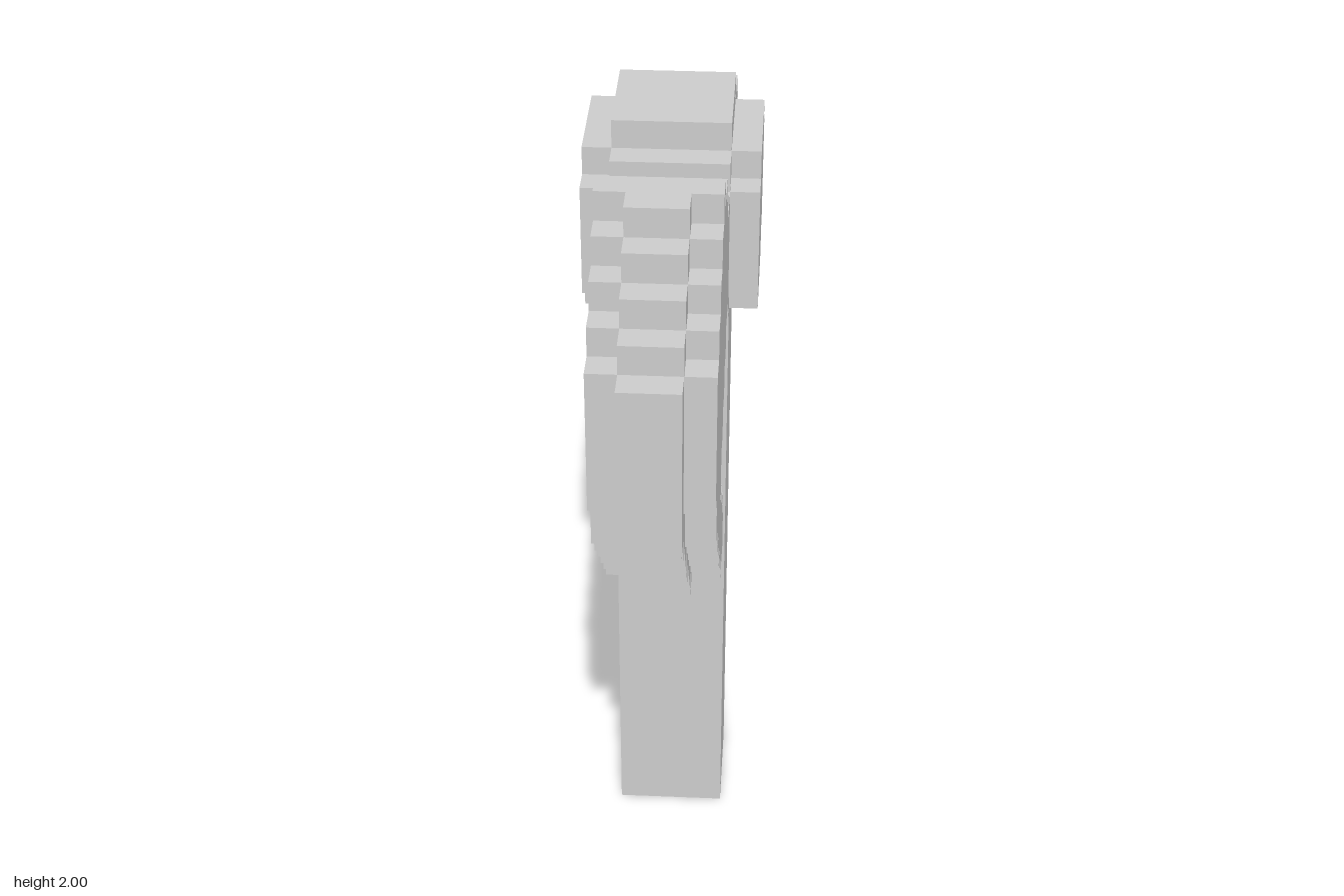
import * as THREE from 'three';

const U = 2 / 31; // one block unit

const material = new THREE.MeshStandardMaterial({ color: 0xcccccc, flatShading: true });

// Stepped slab: each row is [bottom, top, back z, front z] in units, extruded across x.
function steppedSlab(name, rows, width) {
  const points = [];
  const add = (z, y) => {
    const last = points[points.length - 1];
    if (!last || last.x !== z * U || last.y !== y * U) points.push(new THREE.Vector2(z * U, y * U));
  };
  for (const [y0, y1, , front] of rows) {
    add(front, y0);
    add(front, y1);
  }
  for (const [y0, y1, back] of [...rows].reverse()) {
    add(back, y1);
    add(back, y0);
  }
  const geometry = new THREE.ExtrudeGeometry(new THREE.Shape(points), { depth: width * U, bevelEnabled: false });
  geometry.translate(0, 0, -width * U / 2);
  geometry.rotateY(-Math.PI / 2);
  const mesh = new THREE.Mesh(geometry, material);
  mesh.name = name;
  return mesh;
}

export function createModel() {
  const axe = new THREE.Group();
  axe.name = 'axe';

  // Square shaft
  axe.add(steppedSlab('handle', [[0, 23, -6, -2]], 4));

  // Head block with a stepped rounded poll at the back
  axe.add(steppedSlab('headBlock', [
    [23, 24, -8, -1], [24, 25, -9, -1], [25, 27, -10, -1],
    [27, 28, -9, -1], [28, 29, -8, -1], [29, 30, -6, -2],
  ], 4));

  // Cheek plates standing out on both sides of the head
  axe.add(steppedSlab('cheekPlates', [[23, 24, -6, -2], [24, 28, -7, -1], [28, 29, -6, -2]], 6));

  // Thin cutting edge: the full bearded outline
  axe.add(steppedSlab('cuttingEdge', [
    [14, 15, 1, 2], [15, 16, 1, 4], [16, 17, 1, 5], [17, 18, 2, 6], [18, 19, 3, 7],
    [19, 20, 4, 8], [20, 21, 4, 9], [21, 22, 3, 10], [22, 23, 2, 10], [23, 24, 1, 10],
    [24, 27, -1, 10], [27, 28, -1, 9], [28, 29, 1, 8], [29, 30, 2, 7], [30, 31, 4, 6],
  ], 2));

  // Thick blade body and neck, set one unit back from the edge
  axe.add(steppedSlab('bladeBody', [
    [15, 16, 1, 3], [16, 17, 1, 4], [17, 18, 2, 5], [18, 19, 3, 6], [19, 20, 4, 7],
    [20, 21, 4, 8], [21, 22, 3, 8], [22, 23, 2, 9], [23, 24, 1, 9],
    [24, 27, -1, 9], [27, 28, -1, 8], [28, 29, 1, 7], [29, 30, 2, 6], [30, 31, 4, 5],
  ], 4));

  return axe;
}
